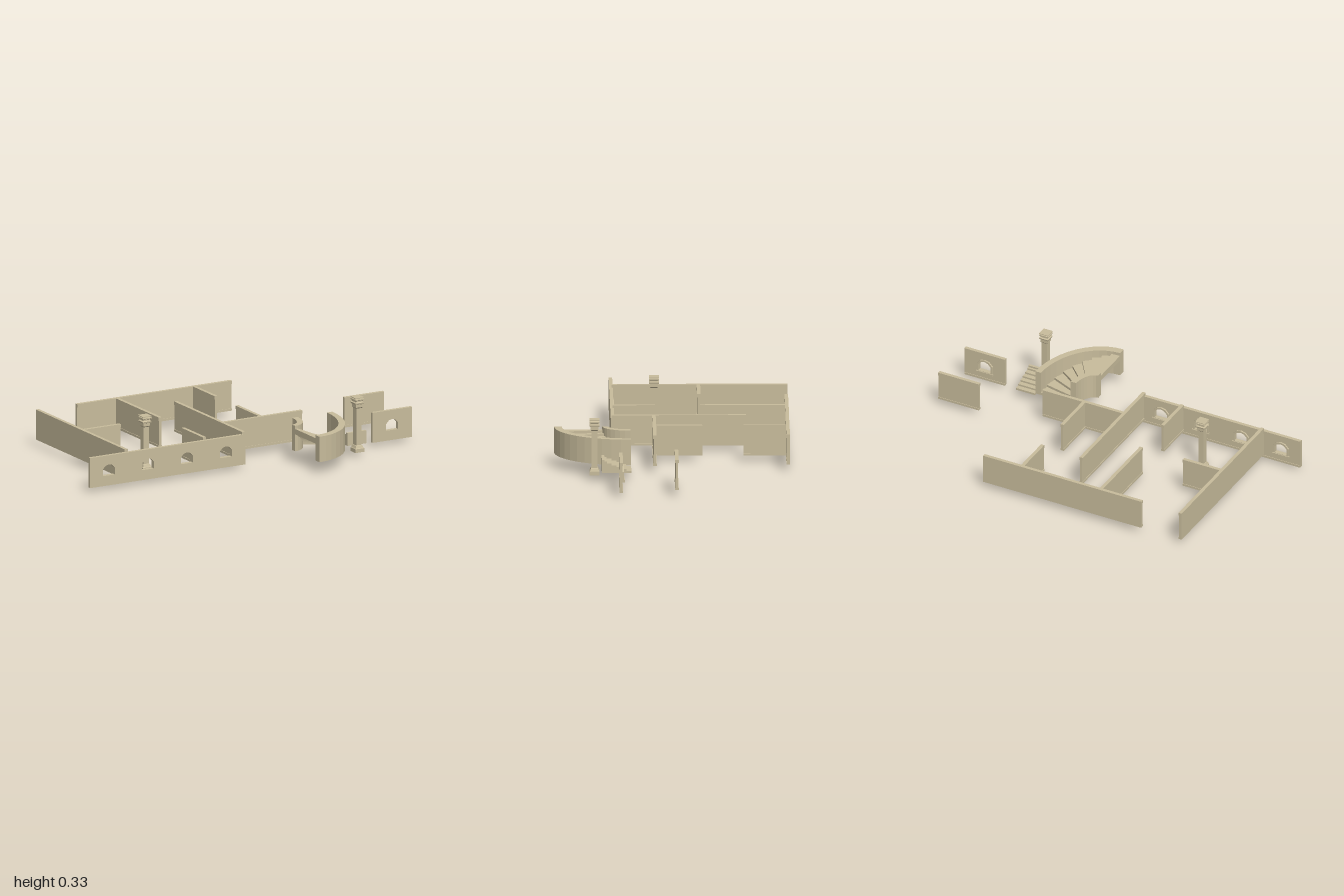
import * as THREE from 'three';

const stone = new THREE.MeshStandardMaterial({ color: 0xc8bc9c });
stone.name = 'sandstone';

function add(parent, name, geo, x = 0, y = 0, z = 0) {
  const m = new THREE.Mesh(geo, stone);
  m.name = name;
  m.position.set(x, y, z);
  parent.add(m);
  return m;
}

const box = (parent, name, x0, x1, y0, y1, z0, z1) =>
  add(parent, name, new THREE.BoxGeometry(x1 - x0, y1 - y0, z1 - z0),
    (x0 + x1) / 2, (y0 + y1) / 2, (z0 + z1) / 2);

// Straight wall with a slim body between a skirting and a top moulding.
// inset = how far the body steps back on the [low, high] side.
function wall(parent, name, axis, c, a, b, inset = [0.003, 0.003], y = 0.035) {
  const g = new THREE.Group();
  g.name = name;
  parent.add(g);
  const h = 0.0095;
  const put = (n, y0, y1, lo, hi) => axis === 'x'
    ? box(g, n, a, b, y0, y1, c - h + lo, c + h - hi)
    : box(g, n, c - h + lo, c + h - hi, y0, y1, a, b);
  put('skirting', y, y + 0.012, 0, 0);
  put('wallBody', y + 0.012, y + 0.147, ...inset);
  put('topMoulding', y + 0.147, y + 0.165, 0, 0);
}

// Arched opening outline, grown by d
const arch = (cx, d) => [
  [-0.037 - d, 0.075 - d], [0.037 + d, 0.075 - d], [0.037 + d, 0.112 + d * 0.5],
  [0.02 + d * 0.6, 0.13 + d], [0, 0.136 + d], [-0.02 - d * 0.6, 0.13 + d], [-0.037 - d, 0.112 + d * 0.5],
].map(([x, y]) => new THREE.Vector2(cx + x, y));

// Wall pierced by arched windows, plain outside, framed inside
function windowWall(parent, name, x0, x1, z0, z1, centres) {
  const g = new THREE.Group();
  g.name = name;
  parent.add(g);
  const s = new THREE.Shape([[x0, 0.02], [x1, 0.02], [x1, 0.185], [x0, 0.185]]
    .map(p => new THREE.Vector2(...p)));
  centres.forEach(c => s.holes.push(new THREE.Path(arch(c, 0))));
  add(g, 'piercedWall', new THREE.ExtrudeGeometry(s, { depth: z1 - z0 - 0.003, bevelEnabled: false }), 0, 0, z0 + 0.003);
  box(g, 'skirting', x0, x1, 0.02, 0.032, z0, z0 + 0.004);
  box(g, 'topMoulding', x0, x1, 0.167, 0.185, z0, z0 + 0.004);
  centres.forEach(c => {
    const f = new THREE.Shape(arch(c, 0.01));
    f.holes.push(new THREE.Path(arch(c, 0)));
    add(g, 'windowFrame', new THREE.ExtrudeGeometry(f, { depth: 0.008, bevelEnabled: false }), 0, 0, z0 - 0.005);
    box(g, 'windowSill', c - 0.05, c + 0.05, 0.061, 0.073, z0 - 0.01, z0 + 0.004);
  });
}

// Square column turned from a half-width profile
function column(parent, x, y, z) {
  const profile = [
    [0, 0], [0.027, 0], [0.027, 0.02], [0.024, 0.024], [0.019, 0.036], [0.016, 0.038],
    [0.016, 0.24], [0.021, 0.246], [0.021, 0.262], [0.025, 0.264], [0.027, 0.272], [0.02, 0.276],
    [0.02, 0.282], [0.027, 0.286], [0.027, 0.292], [0.022, 0.294], [0.022, 0.296], [0.027, 0.297],
    [0.027, 0.301], [0, 0.301],
  ].map(([r, h]) => new THREE.Vector2(r * Math.SQRT2, h));
  const geo = new THREE.LatheGeometry(profile, 4, Math.PI / 4).toNonIndexed();
  geo.computeVertexNormals();
  add(parent, 'column', geo, x, y, z);
}

// Quarter-turn stair: elliptical plan points, angle 0 on +x, 90 degrees on +z
const CX = 0.232, CZ = 0.217;
function band(parent, name, inner, outer, a0, a1, n, y0, y1) {
  const arc = ([rx, rz], t) => {
    const a = a0 + (a1 - a0) * t;
    return new THREE.Vector2(CX + rx * Math.cos(a), -(CZ + rz * Math.sin(a)));
  };
  const pts = [];
  for (let i = 0; i <= n; i++) pts.push(arc(outer, i / n));
  for (let i = n; i >= 0; i--) pts.push(arc(inner, i / n));
  const geo = new THREE.ExtrudeGeometry(new THREE.Shape(pts), { depth: y1 - y0, bevelEnabled: false });
  geo.rotateX(-Math.PI / 2);
  add(parent, name, geo, 0, y0, 0);
}

function curvedStair(parent) {
  const g = new THREE.Group();
  g.name = 'curvedStair';
  parent.add(g);
  const Q = Math.PI / 2;
  band(g, 'outerParapet', [0.283, 0.365], [0.316, 0.406], 0, Q, 12, 0.065, 0.205);
  band(g, 'innerParapet', [0.07, 0.118], [0.103, 0.15], 0, Q, 8, 0.065, 0.205);
  const steps = 9;
  for (let i = 0; i < steps; i++) {
    const top = 0.08 + i * 0.0135;
    band(g, 'curvedTread', [0.1, 0.147], [0.286, 0.368], Q * i / steps, Q * (i + 1) / steps, 2,
      Math.max(0.065, top - 0.03), top);
  }
}

// Short straight flight rising towards the front
function straightStair(parent) {
  const pts = [new THREE.Vector2(0.217, 0.052)];
  const n = 6, run = 0.157 / n, rise = 0.06 / n;
  for (let i = 0; i < n; i++) {
    pts.push(new THREE.Vector2(0.217 + i * run, 0.063 + i * rise));
    pts.push(new THREE.Vector2(0.217 + (i + 1) * run, 0.063 + i * rise));
  }
  pts[pts.length - 1].y = 0.123;
  pts.splice(pts.length - 1, 0, new THREE.Vector2(0.36, 0.113), new THREE.Vector2(0.36, 0.123));
  pts.push(new THREE.Vector2(0.374, 0.052));
  const geo = new THREE.ExtrudeGeometry(new THREE.Shape(pts), { depth: 0.115, bevelEnabled: false });
  geo.rotateY(-Math.PI / 2); // profile runs along z
  add(parent, 'straightStair', geo, 0.665, 0, 0);
}

export function createModel() {
  const model = new THREE.Group();
  model.name = 'ruinedHousePlan';

  // Walls running front to back
  wall(model, 'westWall', 'z', -0.771, -0.63, 0.305, [0, 0.003]);
  wall(model, 'innerWallBack', 'z', -0.29, -0.615, -0.16);
  wall(model, 'innerWallFront', 'z', -0.29, 0.08, 0.305);
  wall(model, 'middleWall', 'z', -0.0545, -0.4, 0.315);
  wall(model, 'eastWallBack', 'z', 0.184, -0.615, -0.385);
  wall(model, 'eastWallFront', 'z', 0.184, -0.165, 0.085);

  // Walls running side to side
  wall(model, 'shortCrossWall', 'x', -0.156, -0.77, -0.54);
  wall(model, 'backWallWest', 'x', -0.62, -0.537, -0.06, [0, 0.003]);
  wall(model, 'backWallEast', 'x', -0.619, -0.06, 0.413, [0, 0.003]);
  wall(model, 'crossWall', 'x', 0.089, -0.045, 0.433);
  wall(model, 'detachedWall', 'x', -0.021, 0.757, 1);

  windowWall(model, 'frontWindowWall', -1, -0.045, 0.299, 0.318, [-0.885, -0.645, -0.405, -0.165]);
  windowWall(model, 'detachedWindowWall', 0.757, 1, 0.265, 0.284, [0.877]);

  column(model, -0.527, 0, 0.083);
  column(model, 0.588, 0.027, 0.412);

  curvedStair(model);
  straightStair(model);
  return model;
}
